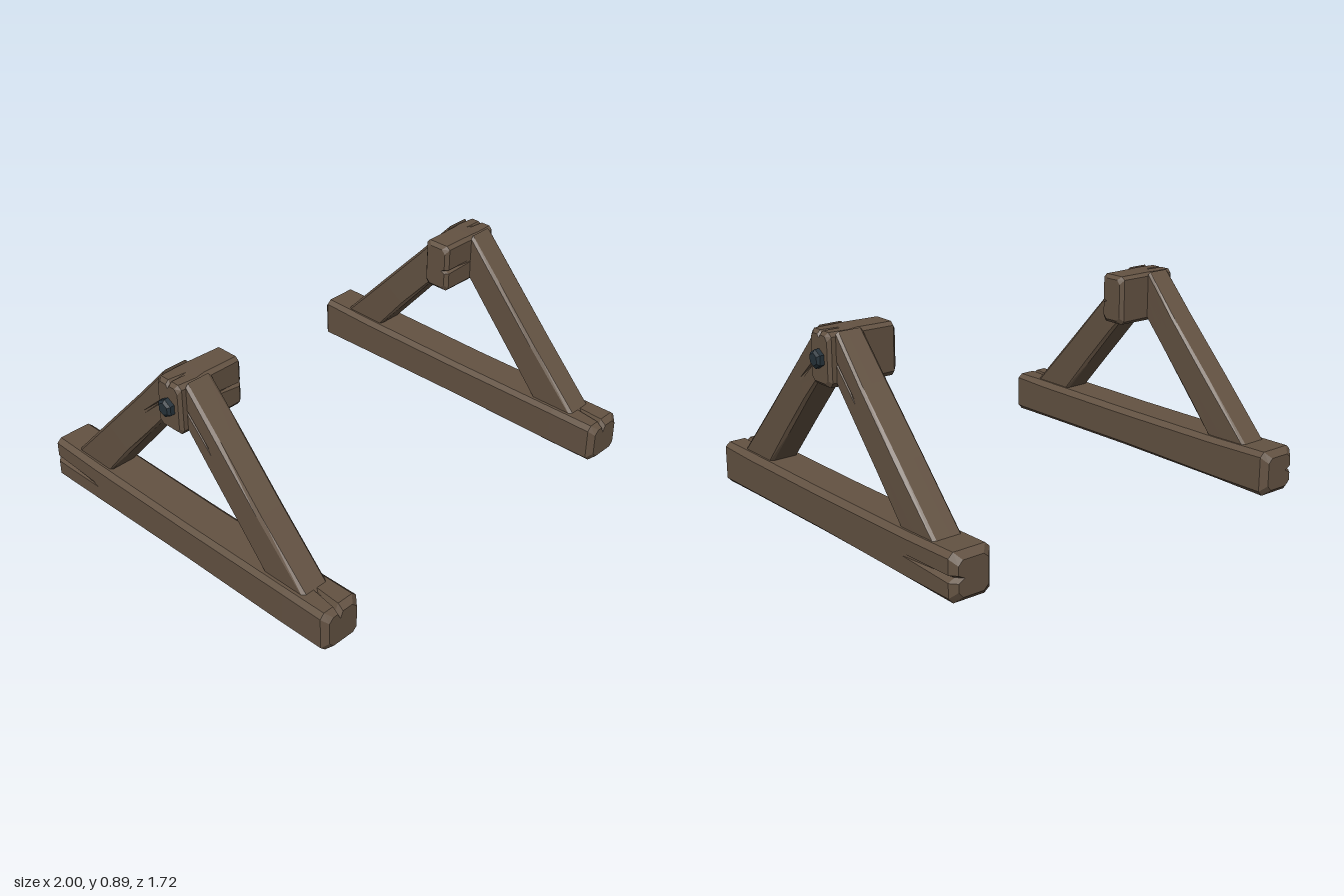
import * as THREE from 'three';

const wood = new THREE.MeshStandardMaterial({ color: 0x635242 });
wood.name = 'weathered wood';
const iron = new THREE.MeshStandardMaterial({ color: 0x26323a });
iron.name = 'dark iron';

// Seeded wobble for the hand-hewn edges
function makeRandom(seed) {
  return () => {
    seed = (seed * 16807) % 2147483647;
    return seed / 2147483647 - 0.5;
  };
}

// Sides of a timber cross-section: bottom, +x, top, -x
const SIDES = [[0, -1], [1, 0], [0, 1], [-1, 0]];

// Timber lofted through sections. Each section runs from its lower edge a to its
// upper edge b, both [y, z]; w is the half width, inset shrinks a bevelled end,
// and cracks maps a side to [offset, half width, depth] of a V-shaped split.
function timber(name, sections, chamfer, seed) {
  const random = makeRandom(seed);
  const positions = [];
  const rings = sections.map(({ a, b, w, inset = 0, cracks = {} }) => {
    const h = Math.hypot(b[0] - a[0], b[1] - a[1]) / 2;
    const up = [(b[0] - a[0]) / (2 * h), (b[1] - a[1]) / (2 * h)];
    const mid = new THREE.Vector3(0, (a[0] + b[0]) / 2, (a[1] + b[1]) / 2);
    const place = (x, v) => new THREE.Vector3(x, mid.y + up[0] * v, mid.z + up[1] * v);
    const hx = w - inset + random() * 0.006;
    const hy = h - inset + random() * 0.004;
    const ring = [];
    SIDES.forEach(([nx, ny], k) => {
      const [out, half] = nx ? [hx, hy] : [hy, hx];
      const [at, wide, deep] = cracks[k] || [0, 0.012, 0];
      const end = half - chamfer;
      const row = [
        [-end + random() * 0.008, 0], [at - wide, 0], [at, deep],
        [at + wide, 0], [end + random() * 0.008, 0],
      ];
      row.forEach(([s, d]) => ring.push(place(nx * (out - d) - ny * s, ny * (out - d) + nx * s)));
    });
    return { ring, mid };
  });
  const face = (...points) => points.forEach((p) => positions.push(p.x, p.y, p.z));
  const last = rings.length - 1;
  const count = rings[0].ring.length;
  for (let j = 0; j < count; j++) {
    const n = (j + 1) % count;
    for (let i = 0; i < last; i++) {
      const p = rings[i].ring, q = rings[i + 1].ring;
      face(p[j], p[n], q[n]);
      face(p[j], q[n], q[j]);
    }
    face(rings[0].mid, rings[0].ring[n], rings[0].ring[j]);
    face(rings[last].mid, rings[last].ring[j], rings[last].ring[n]);
  }
  const geometry = new THREE.BufferGeometry();
  geometry.setAttribute('position', new THREE.Float32BufferAttribute(positions, 3));
  geometry.computeVertexNormals();
  const mesh = new THREE.Mesh(geometry, wood);
  mesh.name = name;
  return mesh;
}

// Ground beam, split on its outer side at the back and on top at the front
function groundBeam(side) {
  const outer = side > 0 ? 1 : 3;
  const section = (z, low, high, inset = 0, cracks = {}) =>
    ({ a: [low, z], b: [high, z], w: 0.1, inset, cracks });
  const backCrack = { [outer]: [0, 0.016, 0.03] };
  const frontCrack = { 2: [0.015, 0.014, 0.03] };
  return timber('groundBeam', [
    section(-0.86, 0.002, 0.205, 0.025, backCrack),
    section(-0.83, 0.002, 0.205, 0, backCrack),
    section(-0.54, 0.008, 0.2),
    section(0.05, 0.012, 0.198),
    section(0.62, 0.012, 0.198),
    section(0.83, 0.01, 0.198, 0, frontCrack),
    section(0.857, 0.01, 0.198, 0.022, frontCrack),
  ], 0.022, 71);
}

// Sloping brace, cut upright at the top and level at the foot
function brace(name, seed, side) {
  const outer = side > 0 ? 1 : 3;
  const section = (t, cracks) => ({
    a: [0.67 - 0.5 * t, 0.07 + 0.435 * t],
    b: [0.89 - 0.72 * t, 0.07 + 0.665 * t],
    w: 0.068, cracks,
  });
  return timber(name, [
    section(0, { [outer]: [-0.02 * side, 0.009, 0.018] }),
    section(0.25),
    section(0.6),
    section(1),
  ], 0.012, seed);
}

// Cross block on top, pointing inward, split on its front face and top
function topBlock(side) {
  const front = side > 0 ? 3 : 1;
  const section = (t, inset = 0, cracks = {}) =>
    ({ a: [0.66, t], b: [0.888, t], w: 0.07, inset, cracks });
  const inner = { [front]: [0.012 * side, 0.01, 0.02] };
  const outer = { 2: [0, 0.01, 0.015] };
  const block = timber('topBlock', [
    section(-0.232, 0.015, inner),
    section(-0.215, 0, inner),
    section(-0.05),
    section(0.0),
    section(0.085, 0, outer),
    section(0.1, 0.015, outer),
  ], 0.018, 313);
  block.rotation.y = side * Math.PI / 2;
  return block;
}

// Hexagonal bolt head on the outer end of the block
function bolt(side) {
  const profile = [[0, 0], [0.032, 0], [0.041, 0.01], [0.041, 0.035], [0.028, 0.045], [0, 0.045]];
  const geometry = new THREE.LatheGeometry(profile.map(([r, y]) => new THREE.Vector2(r, y)), 6)
    .rotateY(Math.PI / 6).rotateZ(-side * Math.PI / 2).toNonIndexed();
  geometry.computeVertexNormals();
  const mesh = new THREE.Mesh(geometry, iron);
  mesh.name = 'bolt';
  mesh.position.set(side * 0.085, 0.775, 0);
  return mesh;
}

export function createModel() {
  const model = new THREE.Group();
  model.name = 'trestleSupports';
  for (const side of [1, -1]) {
    const trestle = new THREE.Group();
    trestle.name = side > 0 ? 'leftTrestle' : 'rightTrestle';
    trestle.position.x = side * 0.87;
    const frontBrace = brace('frontBrace', 911, side);
    const backBrace = brace('backBrace', 1777, -side);
    backBrace.rotation.y = Math.PI;
    trestle.add(groundBeam(side), frontBrace, backBrace, topBlock(side), bolt(side));
    model.add(trestle);
  }
  return model;
}
